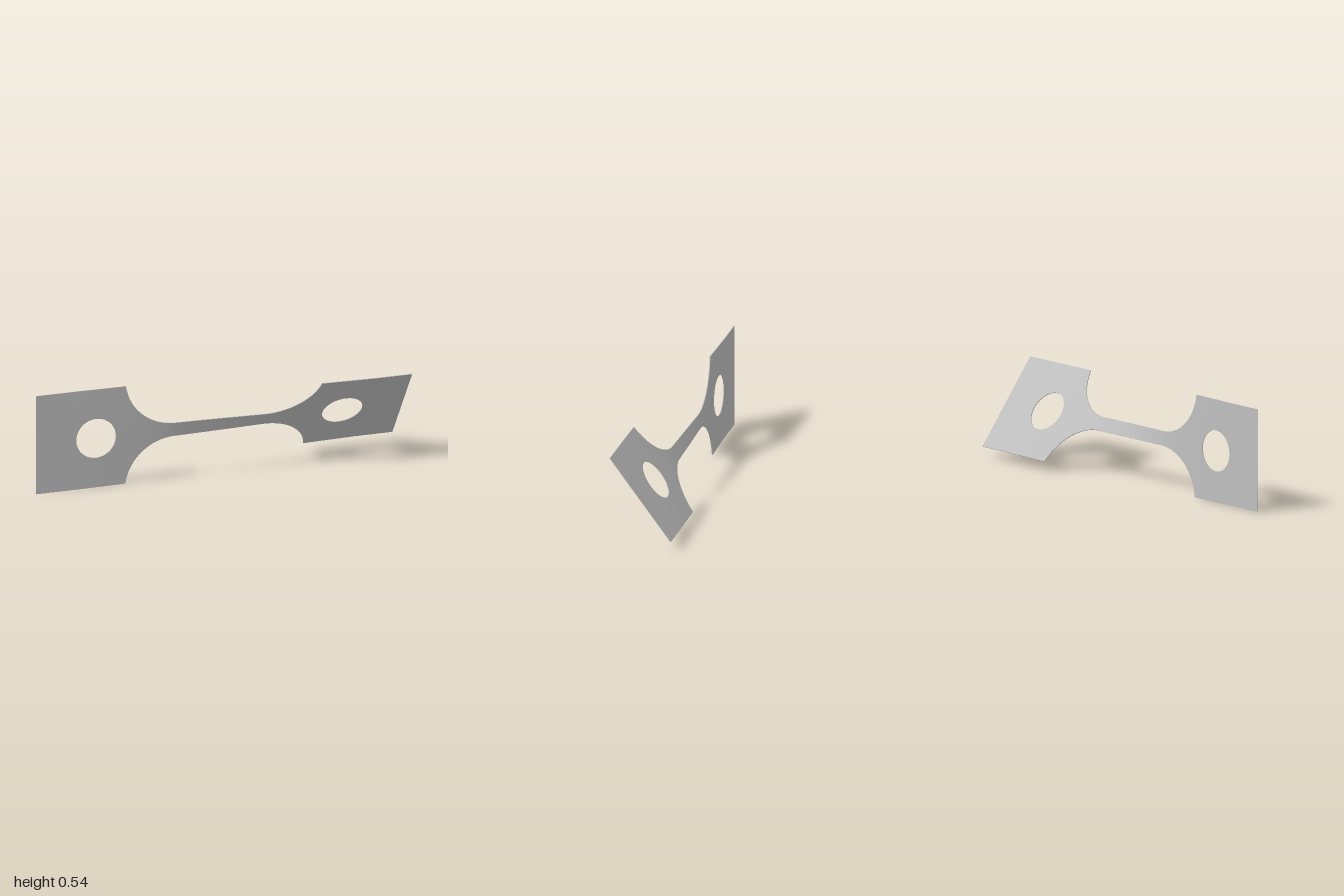
import * as THREE from 'three';
import { toCreasedNormals } from 'three/addons/utils/BufferGeometryUtils.js';

const END = 1, HALF = 0.271, NECK = 0.038, THICK = 0.004;   // strip proportions
const HOLE_X = 0.672, HOLE_R = 0.108;                       // round hole in each plate
const FILLET_X = 0.243, FILLET_R = 0.27;                    // arc from neck to plate
const CLAMP = 0.8, CENTRE_Y = 0.271, TWIST = THREE.MathUtils.degToRad(36.9);
const FILLET_END = Math.acos((FILLET_R + NECK - HALF) / FILLET_R);

// Half width of the strip at x
function outer(x) {
  const d = Math.abs(x) - FILLET_X;
  if (d <= 0) return NECK;
  if (d >= FILLET_R * Math.sin(FILLET_END) - 1e-9) return HALF;
  return NECK + FILLET_R - Math.sqrt(FILLET_R ** 2 - d * d);
}

// Half height of the hole at x
const inner = (x) => Math.sqrt(Math.max(0, HOLE_R ** 2 - (Math.abs(x) - HOLE_X) ** 2));

// Cross-section positions, denser around the hole and the fillets
function stations() {
  const half = [];
  for (let i = 1; i <= 10; i++) half.push(FILLET_X * i / 10);
  for (let i = 1; i <= 28; i++) half.push(FILLET_X + FILLET_R * Math.sin(FILLET_END * i / 28));
  half.push(0.54);
  for (let i = 0; i <= 32; i++) half.push(HOLE_X - HOLE_R * Math.cos(Math.PI * i / 32));
  half.push(CLAMP, 0.9, END);
  return [...half.map((x) => -x), 0, ...half].sort((a, b) => a - b);
}

// Accumulated twist: the narrow neck turns the most, the clamped ends not at all
function twistAngles(xs) {
  const angles = [0];
  for (let i = 1; i < xs.length; i++) {
    const mid = (xs[i] + xs[i - 1]) / 2;
    const rate = Math.abs(mid) > CLAMP ? 0 : Math.pow(outer(mid), -1.2);
    angles.push(angles[i - 1] + rate * (xs[i] - xs[i - 1]));
  }
  const total = angles[angles.length - 1];
  return angles.map((a) => a / total * TWIST);
}

function stripGeometry() {
  const xs = stations(), angles = twistAngles(xs), pos = [];
  const quad = (a, b, c, d, flip) => {
    const order = flip ? [a, c, b, a, d, c] : [a, b, c, a, c, d];
    for (const p of order) pos.push(...p);
  };
  // Upper and lower halves, each a four-cornered section swept along x
  for (const side of [1, -1]) {
    const flip = side < 0;
    const rings = xs.map((x, i) => {
      const c = Math.cos(angles[i]), s = Math.sin(angles[i]), t = THICK / 2;
      return [[inner(x), t], [outer(x), t], [outer(x), -t], [inner(x), -t]].map(([h, z]) => {
        const y = side * h;
        return [x, CENTRE_Y + y * c - z * s, y * s + z * c];
      });
    });
    for (let i = 0; i < xs.length - 1; i++) {
      const A = rings[i], B = rings[i + 1];
      const hasHole = inner(xs[i]) + inner(xs[i + 1]) > 1e-5;
      for (let k = 0; k < (hasHole ? 4 : 3); k++) {
        const n = (k + 1) % 4;
        quad(A[k], B[k], B[n], A[n], flip);
      }
    }
    // End edges
    quad(...rings[0], flip);
    quad(...rings[rings.length - 1], !flip);
  }
  const geometry = new THREE.BufferGeometry();
  geometry.setAttribute('position', new THREE.Float32BufferAttribute(pos, 3));
  return toCreasedNormals(geometry, Math.PI / 6);
}

export function createModel() {
  const group = new THREE.Group();
  group.name = 'twistedSpecimen';
  const metal = new THREE.MeshStandardMaterial({ color: 0xbfbfbf });
  metal.name = 'grey metal';
  const strip = new THREE.Mesh(stripGeometry(), metal);
  strip.name = 'twistedStrip';
  group.add(strip);
  return group;
}
